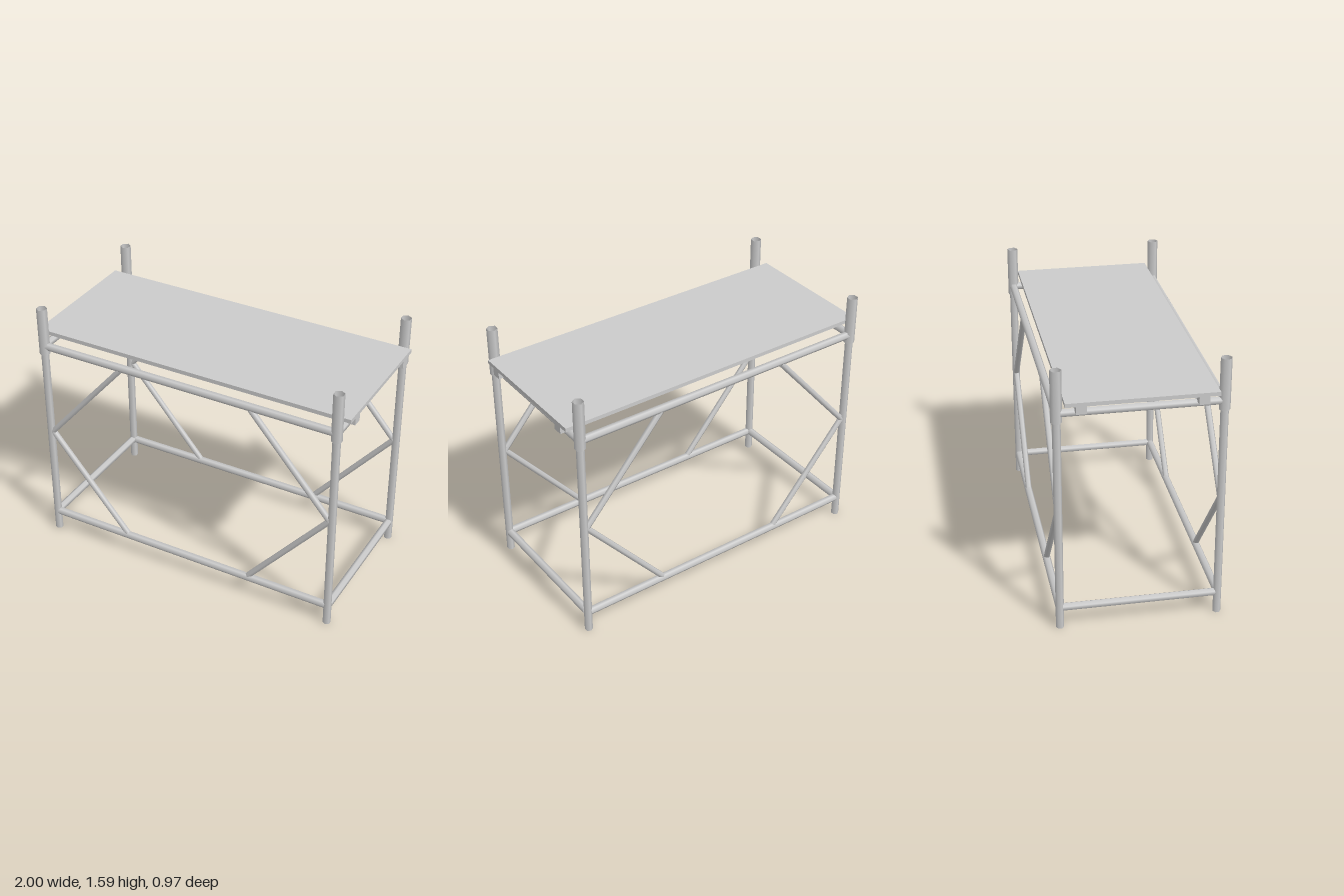
import * as THREE from 'three';

const material = new THREE.MeshStandardMaterial({ color: 0xcccccc, side: THREE.DoubleSide });
const UP = new THREE.Vector3(0, 1, 0);

// Six-sided open pipe between two points
function pipe(name, radius, from, to) {
  const a = new THREE.Vector3(...from);
  const b = new THREE.Vector3(...to);
  const dir = b.clone().sub(a);
  const mesh = new THREE.Mesh(
    new THREE.CylinderGeometry(radius, radius, dir.length(), 6, 1, true), material);
  mesh.name = name;
  mesh.position.copy(a).add(b).multiplyScalar(0.5);
  mesh.quaternion.setFromUnitVectors(UP, dir.normalize());
  return mesh;
}

function box(name, size, position) {
  const mesh = new THREE.Mesh(new THREE.BoxGeometry(...size), material);
  mesh.name = name;
  mesh.position.set(...position);
  return mesh;
}

export function createModel() {
  const group = new THREE.Group();
  group.name = 'scaffoldPlatform';

  const X = 0.94, Z = 0.453;      // post positions
  const LOW = 0.13, HIGH = 1.337; // rail heights
  const R = 0.0235;               // pipe radius

  // Corner posts with wider coupling sleeves, and side braces
  for (const sx of [-1, 1]) {
    for (const sz of [-1, 1]) {
      const x = sx * X, z = sz * Z;
      group.add(pipe('post', R, [x, 0, z], [x, 1.32, z]));
      group.add(pipe('sleeve', 0.032, [x, 1.285, z], [x, 1.585, z]));
      for (const [name, y] of [['lowerBrace', LOW + 0.015], ['upperBrace', HIGH - 0.015]]) {
        group.add(pipe(name, 0.0185, [sx * 0.925, 0.74, z], [sx * 0.42, y, z]));
      }
    }
  }

  // Horizontal rails at two heights
  for (const y of [LOW, HIGH]) {
    for (const s of [-1, 1]) {
      group.add(pipe('longRail', R, [-0.927, y, s * Z], [0.927, y, s * Z]));
      group.add(pipe('crossRail', R, [s * X, y, -0.437], [s * X, y, 0.437]));
    }
  }

  // Deck board on two bearers
  group.add(box('deck', [2, 0.023, 0.83], [0, 1.4045, 0]));
  for (const s of [-1, 1]) {
    group.add(box('bearer', [2, 0.045, 0.058], [0, 1.3715, s * 0.328]));
  }

  return group;
}
